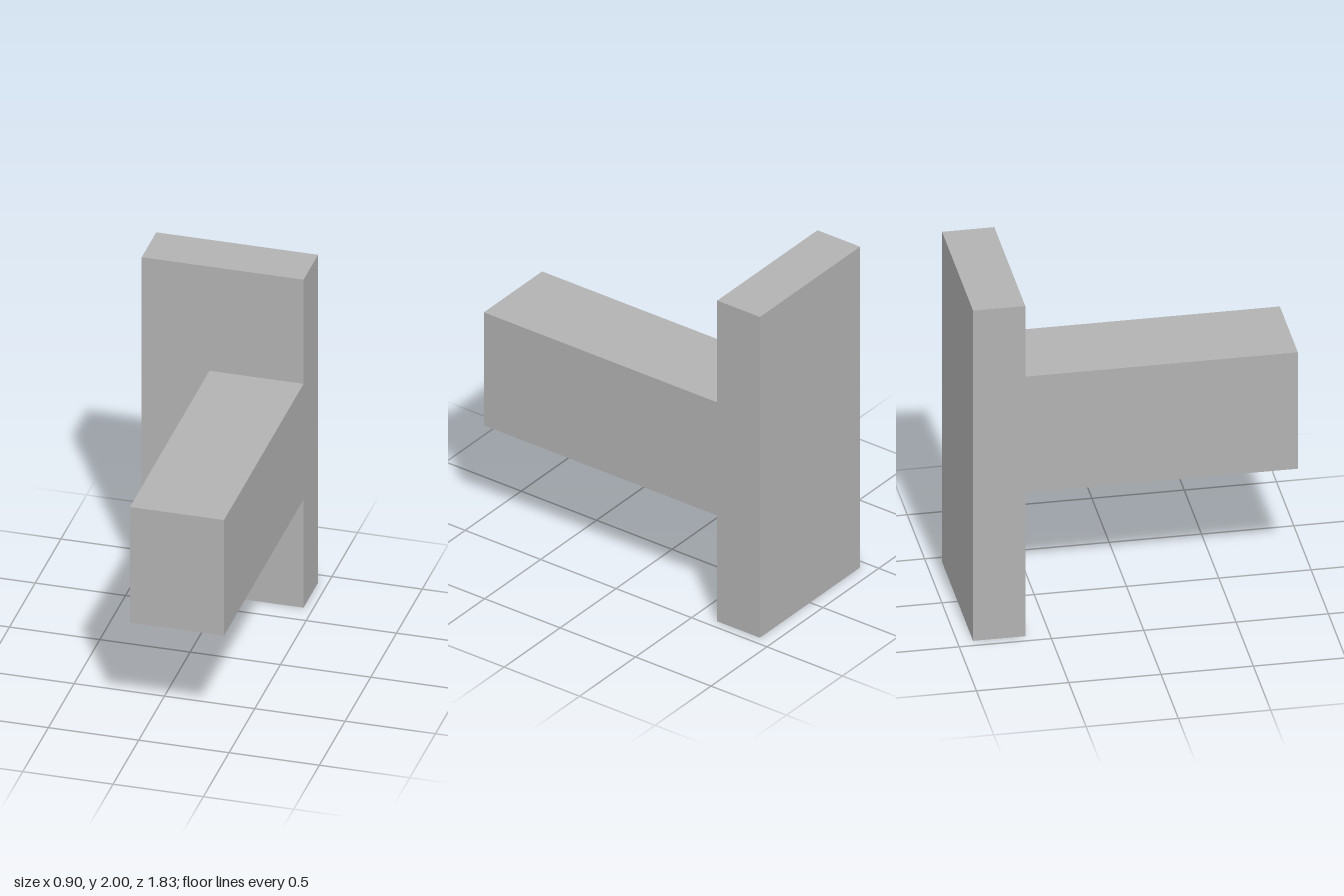
import * as THREE from 'three';

export function createModel() {
  const model = new THREE.Group();
  const grey = new THREE.MeshStandardMaterial({ color: 0xb2b2b2 });
  grey.name = 'grey';

  // Box given by its lower and upper corners
  const addBox = (name, min, max) => {
    const size = max.map((v, i) => v - min[i]);
    const mesh = new THREE.Mesh(new THREE.BoxGeometry(...size), grey);
    mesh.name = name;
    mesh.position.set(...max.map((v, i) => (v + min[i]) / 2));
    model.add(mesh);
  };

  // Upright plate at the back
  addBox('backPlate', [-0.448, 0, -0.915], [0.448, 2, -0.632]);
  // Beam reaching forward, flush with the plate's +x edge
  addBox('beam', [-0.073, 0.66, -0.632], [0.448, 1.365, 0.915]);

  return model;
}
